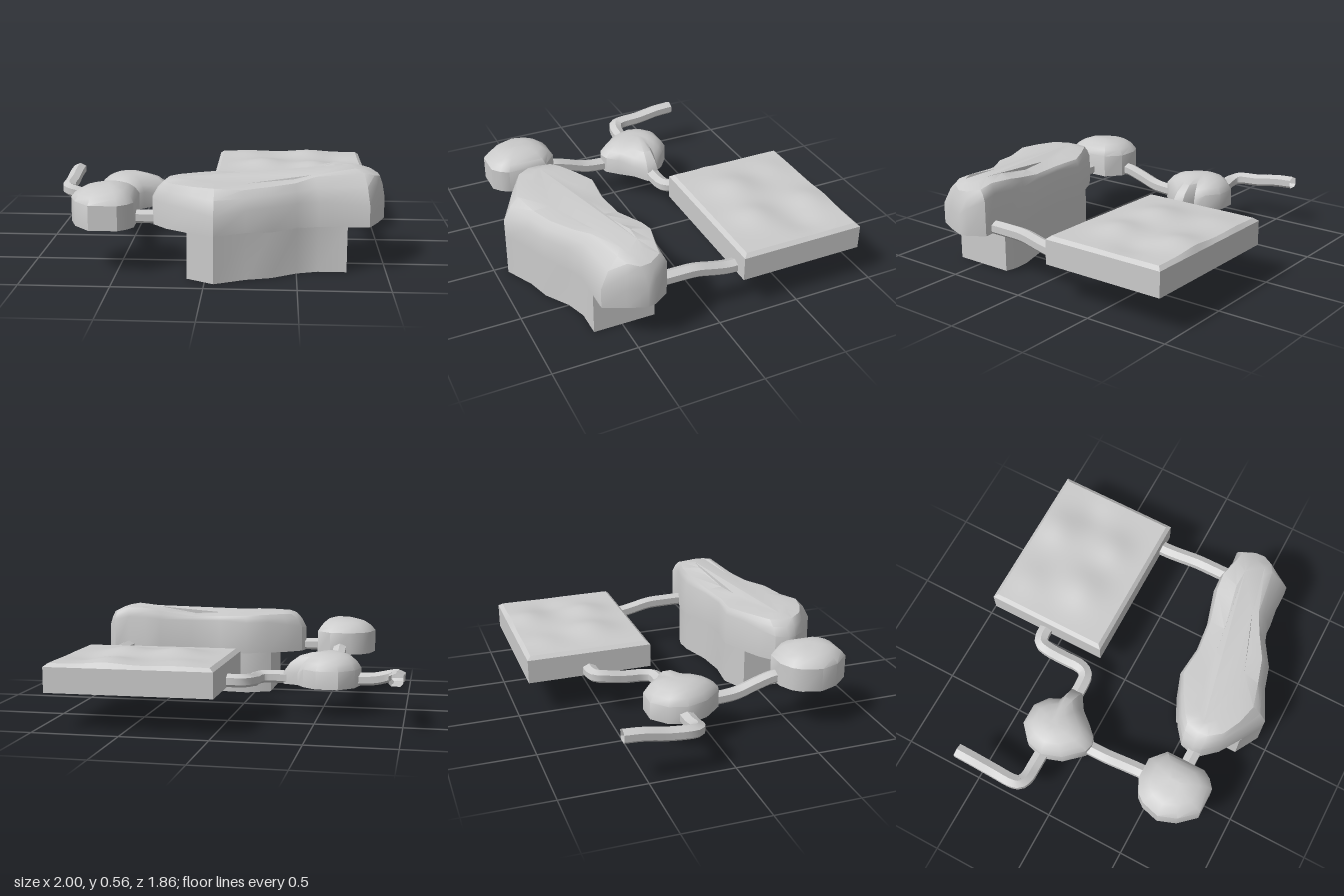
import * as THREE from 'three';
import { toCreasedNormals } from 'three/addons/utils/BufferGeometryUtils.js';

const material = new THREE.MeshStandardMaterial({ color: 0xcccccc });
const openMaterial = new THREE.MeshStandardMaterial({ color: 0xcccccc, side: THREE.DoubleSide });
const V = (x, y, z) => new THREE.Vector3(x, y, z);

// Skin over a stack of equal-length rings, optionally closed at both ends
function skin(rings, capped) {
  const n = rings[0].length, index = [];
  for (let r = 0; r < rings.length - 1; r++) {
    for (let i = 0; i < n; i++) {
      const j = (i + 1) % n, a = r * n, b = a + n;
      index.push(a + j, a + i, b + i, a + j, b + i, b + j);
    }
  }
  const cap = (r, up) => {
    const flat = rings[r].map(p => new THREE.Vector2(p.x, p.z));
    for (const [a, b, c] of THREE.ShapeUtils.triangulateShape(flat, [])) {
      const facesUp = flat[b].clone().sub(flat[a]).cross(flat[c].clone().sub(flat[a])) < 0;
      index.push(r * n + a, ...(facesUp === up ? [b, c] : [c, b]).map(k => r * n + k));
    }
  };
  if (capped) {
    cap(0, false);
    cap(rings.length - 1, true);
  }
  const geometry = new THREE.BufferGeometry().setFromPoints(rings.flat());
  geometry.setIndex(index);
  return toCreasedNormals(geometry, 0.65);
}

function mesh(name, geometry, mat = material) {
  const m = new THREE.Mesh(geometry, mat);
  m.name = name;
  return m;
}

// Small chamber: upright wall and a domed roof shrinking to a centre
function chamber(name, outline, base, wallY, roofY, [cx, cz]) {
  const rings = [outline.map(([x, z]) => V(x, base, z))];
  for (const [t, h] of [[0, 0], [0.13, 0.42], [0.33, 0.76], [0.6, 0.95], [0.85, 1]]) {
    rings.push(outline.map(([x, z]) => {
      const w = wallY(x, z);
      return V(x + (cx - x) * t, w + (roofY(x) - w) * h, z + (cz - z) * t);
    }));
  }
  return mesh(name, skin(rings, true));
}

// Tunnel: ridged section swept along a smooth path
const section = [[-0.04, -0.02], [-0.04, 0.02], [0, 0.038], [0.04, 0.02],
  [0.04, -0.02], [0.025, -0.035], [-0.025, -0.035]];
function tunnel(name, points, steps = 28) {
  const curve = new THREE.CatmullRomCurve3(points.map(p => V(...p)));
  const rings = [];
  for (let i = 0; i <= steps; i++) {
    const p = curve.getPointAt(i / steps);
    const t = curve.getTangentAt(i / steps).setY(0).normalize();
    rings.push(section.map(([u, v]) => V(p.x + t.z * u, p.y + v, p.z - t.x * u)));
  }
  return mesh(name, skin(rings, false), openMaterial);
}

// Great cavern rows: wall x, z, wall height, roof edge x, z
const cavernRows = [
  [-0.31, 0.62, 0.41, -0.24, 0.61], [-0.29, 0.54, 0.42, -0.22, 0.53],
  [-0.20, 0.47, 0.44, -0.17, 0.49], [-0.08, 0.41, 0.46, -0.07, 0.43],
  [0.05, 0.35, 0.46, 0.05, 0.37], [0.23, 0.37, 0.47, 0.23, 0.385],
  [0.42, 0.35, 0.47, 0.42, 0.365], [0.62, 0.29, 0.48, 0.62, 0.31],
  [0.72, 0.285, 0.49, 0.72, 0.30], [0.84, 0.31, 0.49, 0.84, 0.33],
  [0.93, 0.30, 0.47, 0.92, 0.34], [0.99, 0.39, 0.42, 0.96, 0.41],
  [1.0, 0.44, 0.38, 0.965, 0.47], [0.96, 0.55, 0.38, 0.93, 0.53],
  [0.90, 0.67, 0.38, 0.87, 0.56], [0.62, 0.67, 0.40, 0.60, 0.60],
  [0.50, 0.71, 0.40, 0.49, 0.66], [0.36, 0.80, 0.40, 0.35, 0.745],
  [0.22, 0.84, 0.39, 0.20, 0.79], [0.05, 0.925, 0.37, 0.05, 0.83],
  [-0.08, 0.85, 0.39, -0.07, 0.80], [-0.22, 0.76, 0.40, -0.18, 0.745],
  [-0.30, 0.67, 0.41, -0.235, 0.67],
];
const roofLine = [[-0.31, 0.50], [-0.2, 0.52], [0.1, 0.515], [0.2, 0.50], [0.27, 0.52],
  [0.4, 0.505], [0.55, 0.52], [0.65, 0.555], [0.75, 0.565], [0.85, 0.56], [0.95, 0.53], [1.01, 0.5]];
function cavernRoof(x) {
  const i = Math.max(1, roofLine.findIndex(p => p[0] >= x));
  const [a, b] = [roofLine[i - 1], roofLine[i]];
  return a[1] + (b[1] - a[1]) * (x - a[0]) / (b[0] - a[0]);
}

function cavern() {
  const g = new THREE.Group();
  g.name = 'greatCavern';
  const rings = [cavernRows.map(([x, z]) => V(x, 0.26, z))];
  for (const [t, h] of [[0, 0], [0.45, 0.6], [1, 1]]) {
    rings.push(cavernRows.map(([x, z, w, ix, iz]) => {
      const px = x + (ix - x) * t;
      return V(px, w + (cavernRoof(ix) - 0.01 - w) * h, z + (iz - z) * t);
    }));
  }
  // Crown line, slightly higher than the roof edge
  rings.push(cavernRows.map(([, , , x, z]) => {
    const cz = 0.62 - 0.15 * Math.max(0, x);
    return V(x + (0.38 - x) * 0.1, cavernRoof(x + (0.38 - x) * 0.1), z + (cz - z) * 0.5);
  }));
  g.add(mesh('cavernHall', skin(rings, true)));

  // Deep pit below the hall, cut straight at both ends
  const inside = cavernRows.filter(r => r[0] > -0.09 && r[0] < 0.77);
  const back = inside.filter(r => r[1] < 0.5), front = inside.filter(r => r[1] > 0.5);
  const pit = [[-0.10, 0.84], [-0.10, 0.42], ...back, [0.78, 0.30], [0.78, 0.67], ...front];
  g.add(mesh('cavernPit', skin([0, 0.265].map(y => pit.map(([x, z]) => V(x, y, z))), true)));
  return g;
}

// Square hall: bevelled box with an undulating roof
function squareHall() {
  const geometry = new THREE.BoxGeometry(0.96, 0.2, 0.76, 24, 2, 20);
  const p = geometry.attributes.position;
  const bumps = [[0.3, -0.46, 0.035, 0.14], [0.62, -0.42, 0.03, 0.12],
    [0.6, -0.8, 0.028, 0.12], [0.2, -0.78, 0.015, 0.12], [0.78, -0.64, -0.015, 0.1]];
  for (let i = 0; i < p.count; i++) {
    let x = p.getX(i) + 0.47, z = p.getZ(i) - 0.55, y = 0.21;
    if (Math.abs(p.getY(i)) < 0.05) y = 0.355;
    else if (p.getY(i) > 0) {
      x = 0.47 + (x - 0.47) * 0.95;
      z = -0.55 + (z + 0.55) * 0.94;
      y = 0.374;
      for (const [bx, bz, h, s] of bumps) y += h * Math.exp(-((x - bx) ** 2 + (z - bz) ** 2) / (s * s));
    }
    p.setXYZ(i, x, y, z);
  }
  return mesh('squareHall', toCreasedNormals(geometry, 0.45));
}

export function createModel() {
  const group = new THREE.Group();
  group.name = 'caveSystem';
  group.add(cavern(), squareHall());

  group.add(chamber('frontChamber', [[-0.77, 0.62], [-0.74, 0.51], [-0.70, 0.46], [-0.62, 0.42],
    [-0.49, 0.42], [-0.40, 0.50], [-0.40, 0.74], [-0.43, 0.79], [-0.48, 0.83], [-0.64, 0.83],
    [-0.73, 0.73]], 0.26, () => 0.40, x => 0.48 + 0.02 * (x + 0.58), [-0.57, 0.62]));

  group.add(chamber('middleChamber', [[-0.74, -0.18], [-0.71, -0.29], [-0.62, -0.37], [-0.49, -0.37],
    [-0.41, -0.31], [-0.37, -0.25], [-0.28, -0.22], [-0.28, -0.15], [-0.37, -0.09], [-0.44, -0.01],
    [-0.50, 0.05], [-0.55, 0.065], [-0.60, 0.05], [-0.70, -0.06]],
    0.175, x => (x > -0.38 ? 0.245 : 0.28), () => 0.37, [-0.56, -0.19]));

  group.add(tunnel('exitTunnel', [[-0.96, 0.292, -0.63], [-0.96, 0.285, -0.52], [-0.96, 0.262, -0.38],
    [-0.96, 0.252, -0.25], [-0.945, 0.246, -0.21], [-0.90, 0.235, -0.19], [-0.82, 0.218, -0.19],
    [-0.70, 0.212, -0.19]]));
  group.add(tunnel('hallTunnel', [[-0.34, 0.212, -0.187], [-0.22, 0.212, -0.187], [-0.15, 0.212, -0.20],
    [-0.12, 0.212, -0.25], [-0.12, 0.22, -0.37], [-0.12, 0.24, -0.49], [-0.105, 0.245, -0.54],
    [-0.06, 0.247, -0.557], [0.02, 0.247, -0.557]]));
  group.add(tunnel('chamberTunnel', [[-0.555, 0.212, 0.0], [-0.555, 0.214, 0.08], [-0.555, 0.225, 0.18],
    [-0.555, 0.265, 0.30], [-0.555, 0.293, 0.40], [-0.555, 0.296, 0.46]], 16));
  group.add(tunnel('shortTunnel', [[-0.42, 0.296, 0.63], [-0.28, 0.296, 0.63]], 2));
  group.add(tunnel('sideTunnel', [[0.84, 0.292, 0.36], [0.84, 0.292, 0.2], [0.84, 0.288, 0.08],
    [0.84, 0.262, -0.04], [0.84, 0.248, -0.12], [0.84, 0.246, -0.2]], 18));
  return group;
}
